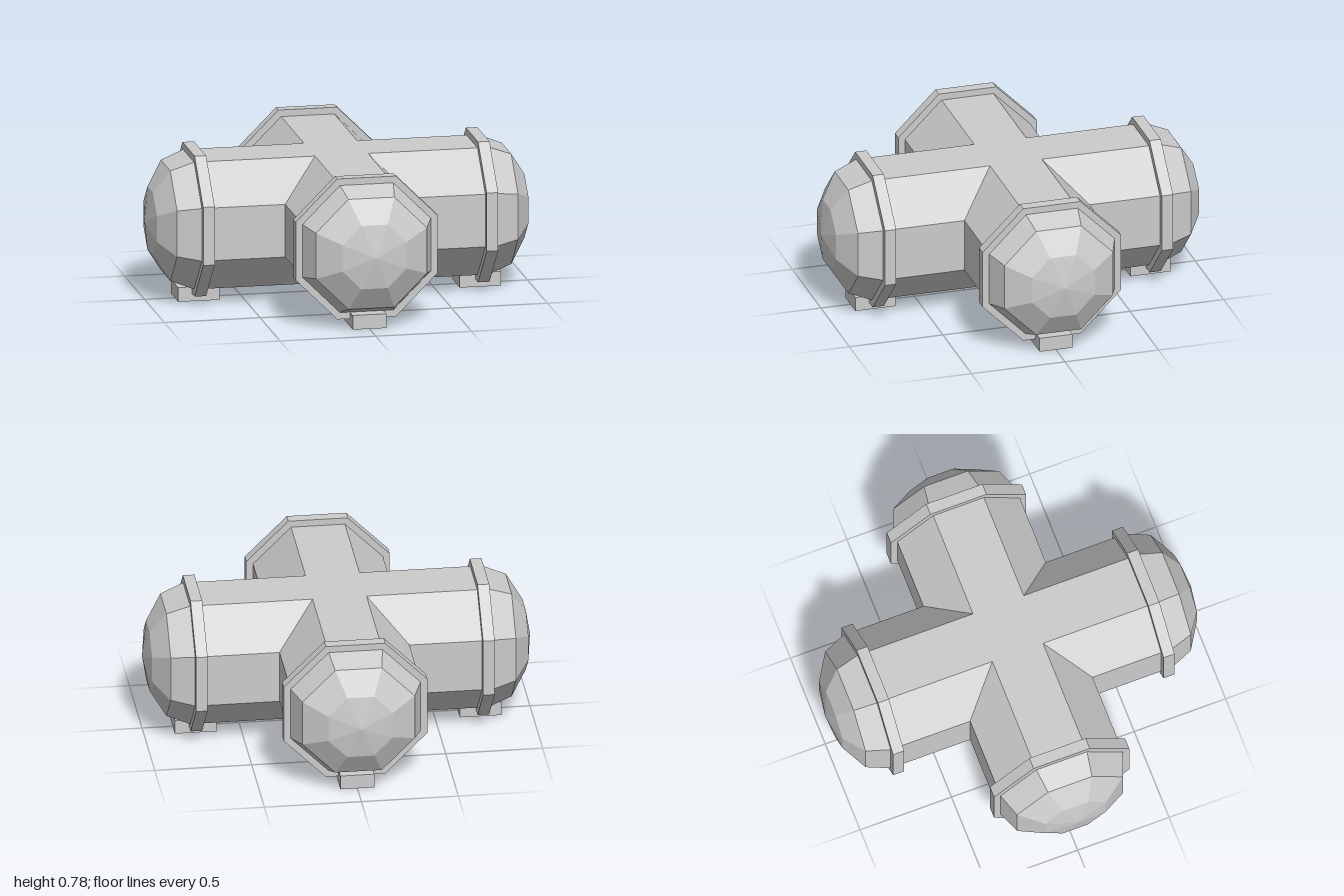
import * as THREE from 'three';

const CENTER_Y = 0.41;
const R = 0.335; // flat-to-centre distance of the octagonal pipe
const TO_CORNER = 1 / Math.cos(Math.PI / 8);

const material = new THREE.MeshStandardMaterial({ color: 0xcccccc, flatShading: true });

function part(name, geometry) {
  const mesh = new THREE.Mesh(geometry, material);
  mesh.name = name;
  return mesh;
}

// Octagonal pipe along +z whose inner end is mitred at 45 degrees to meet its neighbours
function mitredPipe(length) {
  const h = R * Math.tan(Math.PI / 8);
  const section = [
    [R, -h], [R, h], [h, R], [0, R], [-h, R],
    [-R, h], [-R, -h], [-h, -R], [0, -R], [h, -R],
  ];
  const positions = [];
  const index = [];
  const n = section.length;
  section.forEach(([x, y], i) => {
    positions.push(x, y, Math.abs(x), x, y, length);
    const j = (i + 1) % n;
    index.push(2 * i, 2 * j, 2 * j + 1, 2 * i, 2 * j + 1, 2 * i + 1);
  });
  const geometry = new THREE.BufferGeometry();
  geometry.setAttribute('position', new THREE.Float32BufferAttribute(positions, 3));
  geometry.setIndex(index);
  geometry.computeVertexNormals();
  return geometry;
}

// Faceted end cap
function domeGeometry() {
  const profile = [[R, 0.74], [R, 0.77], [0.29, 0.89], [0.167, 0.97], [0, 1]]
    .map(([r, z]) => new THREE.Vector2(r * TO_CORNER, z));
  return new THREE.LatheGeometry(profile, 8, Math.PI / 8).rotateX(Math.PI / 2);
}

// Raised octagonal collar
function collarGeometry() {
  const r = 0.37 * TO_CORNER;
  return new THREE.CylinderGeometry(r, r, 0.06, 8, 1, false, Math.PI / 8)
    .rotateX(Math.PI / 2)
    .translate(0, 0, 0.74);
}

export function createModel() {
  const model = new THREE.Group();
  model.name = 'pipeCross';

  const pipe = mitredPipe(0.74);
  const dome = domeGeometry();
  const collar = collarGeometry();
  const foot = new THREE.BoxGeometry(0.175, 0.075, 0.215).translate(0, 0.0375 - CENTER_Y, 0.735);

  // Four identical arms
  ['front', 'left', 'back', 'right'].forEach((side, i) => {
    const arm = new THREE.Group();
    arm.name = side + 'Arm';
    arm.add(
      part(side + 'Pipe', pipe),
      part(side + 'Dome', dome),
      part(side + 'Collar', collar),
      part(side + 'Foot', foot),
    );
    arm.position.y = CENTER_Y;
    arm.rotation.y = i * Math.PI / 2;
    model.add(arm);
  });

  return model;
}
